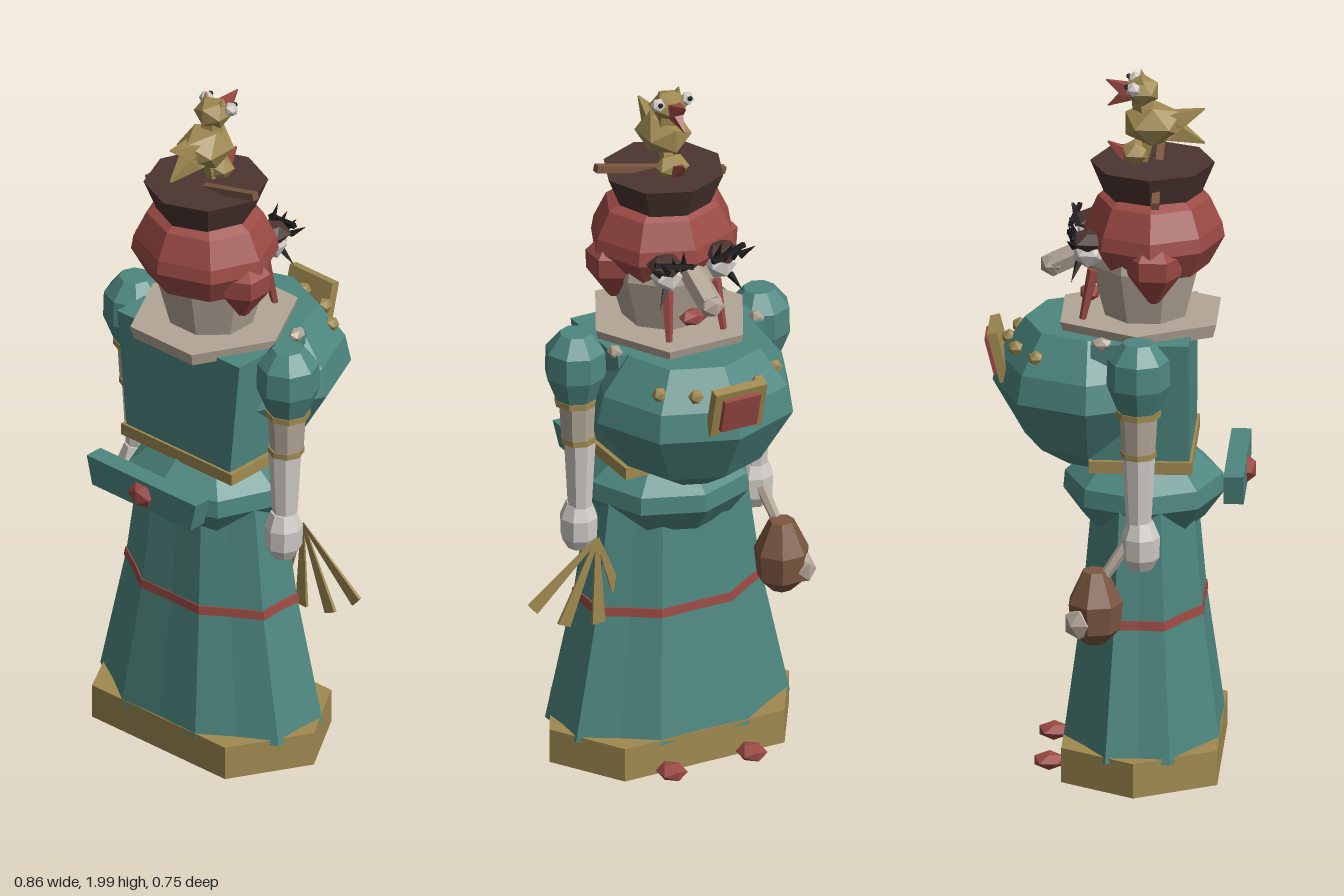
import * as THREE from 'three';

const mat = (name, color) => Object.assign(new THREE.MeshStandardMaterial({ color }), { name });

export function createModel() {
  const M = {
    teal: mat('teal', 0x4e8780), red: mat('red', 0x9b4a44), gold: mat('gold', 0xa08a51),
    cream: mat('cream', 0xb3a697), white: mat('white', 0xd0cbc6), brown: mat('brown', 0x7b5740),
    dark: mat('dark brown', 0x4c3531), black: mat('black', 0x1d1a1a),
  };
  const CX = -0.055; // centre line of the figure
  const model = new THREE.Group();
  model.name = 'figure';
  const body = new THREE.Group();
  body.name = 'body';
  body.position.x = CX;
  model.add(body);

  // Faceted mesh: split vertices give flat normals
  function add(name, geo, m, x = 0, y = 0, z = 0, parent = body) {
    const g = geo.index ? geo.toNonIndexed() : geo;
    g.computeVertexNormals();
    const mesh = new THREE.Mesh(g, m);
    mesh.name = name;
    mesh.position.set(x, y, z);
    parent.add(mesh);
    return mesh;
  }
  // Closed turned shape from [radius, y] pairs, scaled in x and z
  function turned(profile, n, sx = 1, sz = 1, start = 0) {
    const p = [[0, profile[0][1]], ...profile, [0, profile.at(-1)[1]]];
    return new THREE.LatheGeometry(p.map(([r, y]) => new THREE.Vector2(r, y)), n, start).scale(sx, 1, sz);
  }
  const gem = (rx, ry = rx, rz = rx) => new THREE.IcosahedronGeometry(1, 0).scale(rx, ry, rz);
  const box = (x, y, z) => new THREE.BoxGeometry(x, y, z);
  // Box whose lower side is narrower
  function taperedBox(x, y, z, k) {
    const g = box(x, y, z), p = g.attributes.position;
    for (let i = 0; i < p.count; i++) if (p.getY(i) < 0) p.setX(i, p.getX(i) * k);
    return g;
  }
  // Tapered bar or spike between two points
  function bar(name, a, b, r0, r1, m, n = 4, flat = 1) {
    const A = new THREE.Vector3(...a), B = new THREE.Vector3(...b), d = B.clone().sub(A);
    const geo = new THREE.CylinderGeometry(r1, r0, d.length(), n, 1, false, Math.PI / 4).scale(1, 1, flat);
    const mesh = add(name, geo, m, ...A.add(B).multiplyScalar(0.5).toArray());
    mesh.quaternion.setFromUnitVectors(new THREE.Vector3(0, 1, 0), d.normalize());
    return mesh;
  }

  // Plinth
  const plan = [[-0.25, 0.215], [0.25, 0.215], [0.375, -0.01], [0.25, -0.215], [-0.25, -0.215], [-0.375, -0.01]];
  const shape = new THREE.Shape(plan.map(([x, z]) => new THREE.Vector2(x, -z)));
  add('base', new THREE.ExtrudeGeometry(shape, { depth: 0.1, bevelEnabled: false }).rotateX(-Math.PI / 2), M.gold, 0, 0.015, 0.065);

  // Pleated skirt and its band: every other corner is pulled in
  function pleated(profile) {
    const g = turned(profile, 16), p = g.attributes.position;
    for (let i = 0; i < p.count; i++) {
      const k = Math.round(Math.atan2(p.getX(i), p.getZ(i)) / (Math.PI / 8));
      const s = k % 2 ? 1 : 0.91;
      p.setXYZ(i, p.getX(i) * s, p.getY(i), p.getZ(i) * s * 0.645);
    }
    return g;
  }
  add('skirt', pleated([[0.363, 0.1], [0.278, 0.48], [0.232, 0.8]]), M.teal, 0, 0, 0.065);
  add('skirtBand', pleated([[0.286, 0.465], [0.282, 0.49]]), M.red, 0, 0, 0.065);
  for (const s of [-1, 1]) add('shoe', gem(0.043, 0.025, 0.048), M.red, s * 0.125, 0.035, -0.19);

  // Hips and rear bow
  add('hips', turned([[0.18, 0.715], [0.24, 0.79], [0.235, 0.84], [0.15, 0.91]], 8, 1, 0.93), M.teal, 0, 0, 0.065);
  add('bow', taperedBox(0.41, 0.085, 0.055, 0.9), M.teal, 0, 0.855, 0.322);
  add('bowKnot', gem(0.045, 0.04, 0.03), M.red, 0, 0.853, 0.347);

  // Torso, belt and bust
  add('torso', taperedBox(0.46, 0.36, 0.27, 0.84), M.teal, 0, 1.105, 0.065);
  add('belt', box(0.415, 0.035, 0.285), M.gold, 0, 0.92, 0.065);
  add('bust', turned([[0.09, 0.88], [0.2, 0.945], [0.297, 1.1], [0.28, 1.18], [0.2, 1.285]], 8, 1, 0.92), M.teal, 0, 0, -0.08);
  for (const [x, z] of [[-0.178, -0.224], [-0.095, -0.284], [0, -0.307], [0.1, -0.284], [0.182, -0.224]])
    add('stud', gem(0.022), M.gold, x, 1.225, z);

  // Brooch leaning out at the top
  const brooch = new THREE.Group();
  brooch.name = 'brooch';
  brooch.position.set(0, 1.19, -0.333);
  brooch.rotation.x = -0.25;
  body.add(brooch);
  add('broochFrame', box(0.16, 0.145, 0.028), M.gold, 0, 0, 0, brooch);
  add('broochStone', box(0.112, 0.105, 0.03), M.red, 0, 0, -0.013, brooch);

  // Arms
  for (const s of [-1, 1]) {
    const x = s * 0.275;
    add('sleeve', turned([[0.058, 1.115], [0.088, 1.19], [0.086, 1.265], [0.045, 1.315]], 8), M.teal, s * 0.288, 0, 0.065);
    add('sleeveCuff', turned([[0.062, 1.1], [0.062, 1.118]], 8), M.gold, s * 0.287, 0, 0.065);
    add('upperArm', turned([[0.046, 0.99], [0.053, 1.11]], 8), M.cream, x + s * 0.008, 0, 0.065);
    add('bracelet', turned([[0.05, 0.98], [0.05, 0.997]], 8), M.gold, x + s * 0.005, 0, 0.065);
    add('forearm', turned([[0.034, 0.77], [0.046, 0.985]], 8), M.white, x, 0, 0.065);
    add('hand', turned([[0.033, 0.652], [0.052, 0.685], [0.054, 0.745], [0.036, 0.79]], 8), M.white, x, 0, 0.07);
  }

  // Flat folding fan held in the left hand
  for (const [x, y] of [[0.468, 0.54], [0.37, 0.468], [0.262, 0.45], [0.18, 0.47]])
    bar('fanStick', [0.265, 0.71, -0.018], [x, y, -0.018], 0.008, 0.028, M.gold, 4, 0.25);

  // Pouch held in the right hand
  bar('pouchHandle', [-0.275, 0.72, 0.03], [-0.3, 0.6, -0.05], 0.018, 0.014, M.cream, 6);
  add('pouch', turned([[0.03, 0.44], [0.07, 0.48], [0.078, 0.56], [0.035, 0.65]], 7), M.brown, -0.292, 0, -0.055);
  add('pouchClasp', gem(0.035, 0.048, 0.045), M.cream, -0.337, 0.51, -0.095);

  // Collar and head
  add('collar', turned([[0.22, 1.272], [0.23, 1.31]], 6, 1, 1.08, Math.PI / 6), M.cream, 0, 0, 0.055);
  for (const s of [-1, 1]) add('collarPoint', gem(0.02, 0.02, 0.03), M.cream, s * 0.222, 1.285, -0.04);
  add('head', turned([[0.12, 1.29], [0.168, 1.46], [0.14, 1.6]], 8, 1, 0.95, Math.PI / 8), M.cream, 0, 0, 0.07);

  // Face
  bar('nose', [0, 1.5, -0.06], [0, 1.44, -0.185], 0.035, 0.036, M.cream, 6);
  add('noseTip', gem(0.038, 0.036, 0.04), M.cream, 0, 1.44, -0.185);
  add('lips', gem(0.045, 0.025, 0.03), M.red, 0, 1.36, -0.085);
  for (const s of [-1, 1]) {
    add('eye', gem(0.045), M.white, s * 0.085, 1.505, -0.085);
    add('eyelid', gem(0.052, 0.032, 0.055), M.dark, s * 0.088, 1.54, -0.085);
    for (let i = 0; i < 4; i++)
      bar('upperLash', [s * (0.05 + i * 0.025), 1.535, -0.12], [s * (0.06 + i * 0.035), 1.6 - i * 0.012, -0.14], 0.012, 0, M.black, 4);
    bar('lowerLash', [s * 0.1, 1.48, -0.11], [s * 0.13, 1.43, -0.13], 0.011, 0, M.black, 4);
    bar('brow', [s * 0.03, 1.545, -0.14], [s * 0.14, 1.565, -0.12], 0.009, 0.009, M.black, 4);
    bar('ringlet', [s * 0.075, 1.45, -0.07], [s * 0.085, 1.31, -0.1], 0.018, 0.01, M.red, 5);
  }

  // Hair with a curl hanging at each side
  add('hair', turned([[0.165, 1.45], [0.212, 1.53], [0.205, 1.57], [0.168, 1.645], [0.13, 1.665]], 8, 1, 0.92), M.red, 0, 0, 0.092);
  for (const s of [-1, 1])
    add('sideCurl', turned([[0.015, 1.385], [0.075, 1.465], [0.078, 1.52], [0.03, 1.57]], 6), M.red, s * 0.15, 0, 0.1);

  // Hat and crossing hairpin
  add('hat', turned([[0.135, 1.655], [0.172, 1.745]], 8), M.dark, 0, 0, 0.088);
  bar('hairpin', [-0.2, 1.682, 0.106], [0.203, 1.782, 0.106], 0.015, 0.015, M.brown);

  // Bird on the hat
  add('birdPerch', gem(0.052, 0.035, 0.042), M.gold, 0, 1.77, 0.04);
  bar('perchFeather', [0, 1.765, 0.015], [0, 1.8, -0.035], 0.024, 0.003, M.red);
  bar('birdLeg', [0, 1.74, 0.06], [0, 1.84, 0.085], 0.018, 0.022, M.gold);
  add('birdBody', gem(0.076, 0.064, 0.09), M.gold, 0, 1.855, 0.09);
  for (const y of [1.9, 1.8]) bar('birdTail', [0, 1.85, 0.12], [0, y, 0.232], 0.05, 0.003, M.gold);
  bar('birdNeck', [0, 1.86, 0.07], [0, 1.94, 0.06], 0.036, 0.03, M.gold, 5);
  add('birdHead', gem(0.056, 0.045, 0.05), M.gold, 0, 1.95, 0.06);
  bar('upperBeak', [0, 1.95, 0.02], [0, 1.98, -0.04], 0.028, 0.002, M.red);
  bar('lowerBeak', [0, 1.94, 0.02], [0, 1.905, -0.035], 0.024, 0.002, M.red);
  for (const s of [-1, 1]) {
    add('birdEye', gem(0.021), M.white, s * 0.046, 1.968, 0.037);
    add('birdPupil', gem(0.008), M.black, s * 0.046, 1.975, 0.02);
    bar('birdCrest', [s * 0.025, 1.97, 0.06], [s * 0.03, 2.0, 0.055], 0.015, 0.002, M.gold);
  }
  return model;
}
